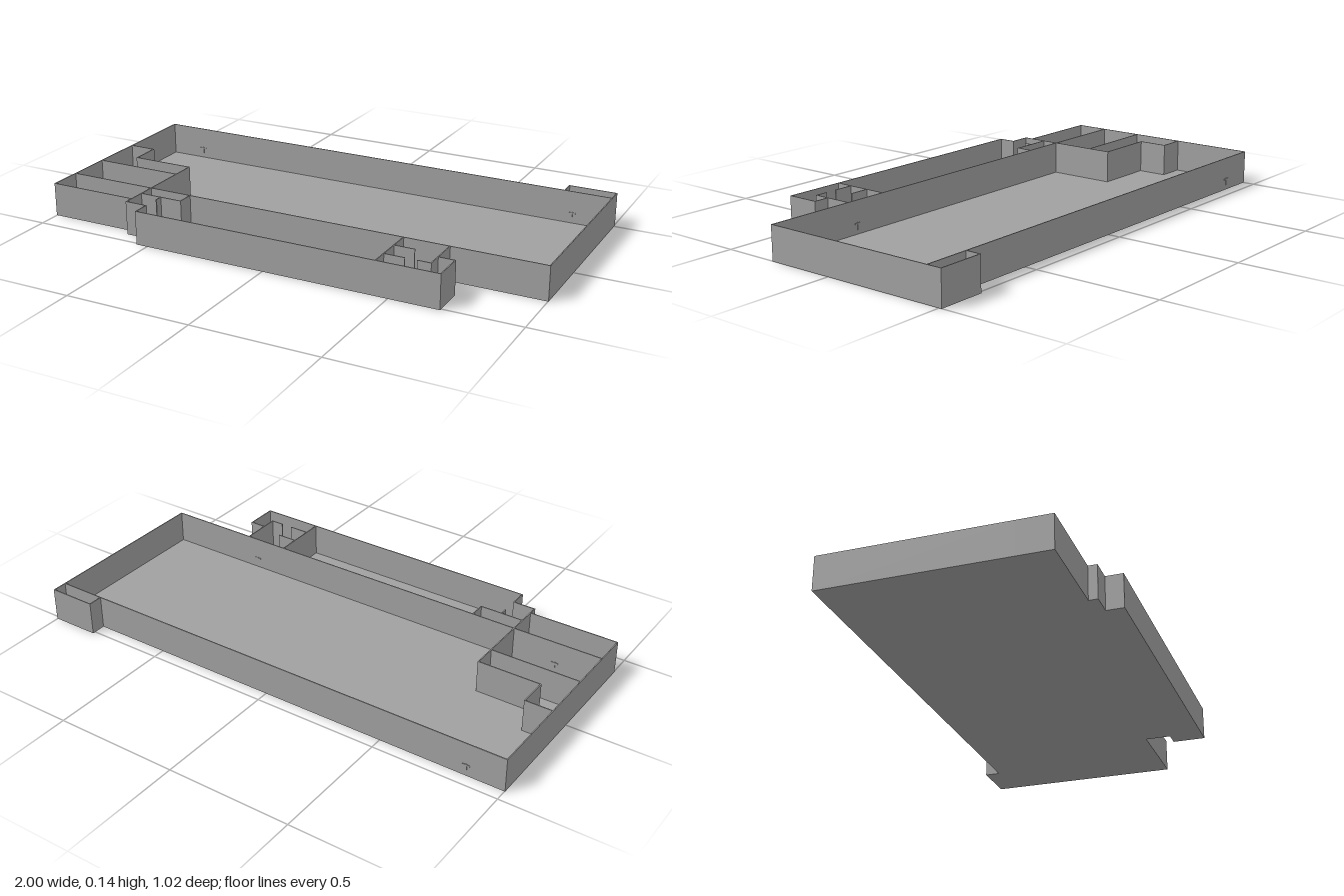
import * as THREE from 'three';

const HEIGHT = 0.135, THICK = 0.004;

export function createModel() {
  const model = new THREE.Group();
  const grey = new THREE.MeshStandardMaterial({ color: 0xa0a0a0 });
  grey.name = 'plaster grey';

  const add = (name, geometry) => {
    const mesh = new THREE.Mesh(geometry, grey);
    mesh.name = name;
    model.add(mesh);
  };

  // Upright wall panels along a plan polyline of [x, z] points
  const walls = (name, points) => {
    for (let i = 1; i < points.length; i++) {
      const [x0, z0] = points[i - 1], [x1, z1] = points[i];
      const g = new THREE.BoxGeometry(Math.abs(x1 - x0) + THICK, HEIGHT, Math.abs(z1 - z0) + THICK);
      g.translate((x0 + x1) / 2, HEIGHT / 2, (z0 + z1) / 2);
      add(name, g);
    }
  };

  // Floor slab following the outer plan
  const plan = [
    [-1, -0.45], [0.81, -0.45], [0.81, -0.51], [1, -0.51], [1, 0.273], [0.63, 0.273],
    [0.63, 0.38], [0.695, 0.38], [0.695, 0.508], [-0.545, 0.508], [-0.545, 0.44],
    [-0.635, 0.44], [-0.635, 0.405], [-1, 0.405],
  ];
  const floor = new THREE.ExtrudeGeometry(
    new THREE.Shape(plan.map(([x, z]) => new THREE.Vector2(x, z))),
    { depth: THICK, bevelEnabled: false });
  floor.rotateX(Math.PI / 2).translate(0, THICK, 0);
  add('floor', floor);

  // Main hall
  walls('mainHallWall', [[-1, 0.273], [-1, -0.45], [1, -0.45], [1, 0.273], [-1, 0.273]]);
  // Small back room
  walls('backRoomWall', [[0.81, -0.45], [0.81, -0.51], [1, -0.51], [1, -0.45]]);
  // Side rooms with a stepped partition
  walls('sideRoomWall', [[-1, -0.12], [-0.89, -0.12], [-0.89, 0], [-0.635, 0], [-0.635, 0.44]]);
  walls('sideRoomDivider', [[-1, 0.095], [-0.635, 0.095]]);
  walls('sideRoomFrontWall', [[-1, 0.273], [-1, 0.405], [-0.635, 0.405]]);
  // Entry lobby
  walls('lobbyWall', [[-0.635, 0.34], [-0.455, 0.34], [-0.455, 0.273]]);
  walls('lobbyFrontWall', [[-0.635, 0.44], [-0.545, 0.44]]);
  walls('lobbyDoorJamb', [[-0.545, 0.34], [-0.545, 0.37]]);
  // Long front wing
  walls('frontWingWall', [[-0.545, 0.44], [-0.545, 0.508], [0.695, 0.508], [0.695, 0.38], [0.63, 0.38]]);
  // Small rooms at the end of the wing
  walls('endRoomDivider', [[0.45, 0.273], [0.45, 0.508]]);
  walls('endRoomWall', [[0.63, 0.273], [0.63, 0.44], [0.58, 0.44]]);
  for (const z of [0.355, 0.44]) walls('endRoomStub', [[0.45, z], [0.53, z]]);

  // Little door handles set through the long walls
  for (const [x, z] of [[-0.85, -0.45], [0.845, -0.45], [-0.815, 0.273], [0.585, 0.273]]) {
    const bar = new THREE.BoxGeometry(0.03, 0.006, 0.009);
    add('doorHandle', bar.translate(x, 0.045, z));
    const plate = new THREE.BoxGeometry(0.006, 0.03, 0.008);
    add('handlePlate', plate.translate(x, 0.035, z));
  }
  return model;
}
